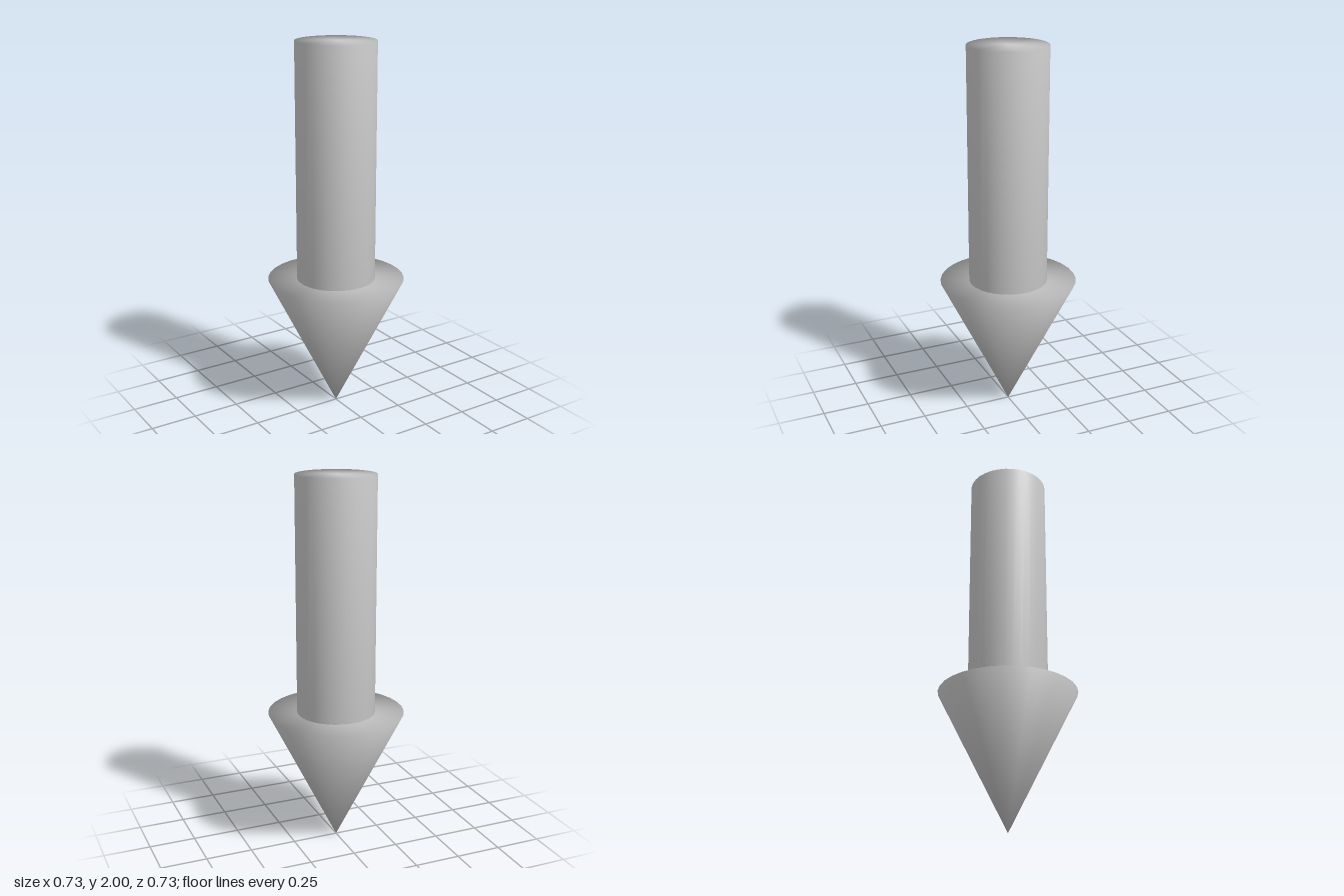
import * as THREE from 'three';
import { mergeVertices } from 'three/addons/utils/BufferGeometryUtils.js';

const SIDES = 32;
const TIP_HEIGHT = 0.735;
const TOTAL_HEIGHT = 2;

// Shares vertices between walls and caps so the shading runs smoothly over the rims
function smooth(geometry) {
  geometry.deleteAttribute('normal');
  geometry.deleteAttribute('uv');
  const merged = mergeVertices(geometry, 1e-4);
  merged.computeVertexNormals();
  return merged;
}

export function createModel() {
  const group = new THREE.Group();
  group.name = 'downArrow';
  const grey = new THREE.MeshStandardMaterial({ color: 0xcccccc });

  // Arrowhead: cone pointing down, apex on the ground
  const head = new THREE.ConeGeometry(0.366, TIP_HEIGHT, SIDES);
  head.rotateX(Math.PI);
  head.translate(0, TIP_HEIGHT / 2, 0);
  const arrowHead = new THREE.Mesh(smooth(head), grey);
  arrowHead.name = 'arrowHead';

  // Shaft: round bar standing on the flat base of the head
  const length = TOTAL_HEIGHT - TIP_HEIGHT;
  const bar = new THREE.CylinderGeometry(0.21, 0.21, length, SIDES);
  bar.translate(0, TIP_HEIGHT + length / 2, 0);
  const shaft = new THREE.Mesh(smooth(bar), grey);
  shaft.name = 'shaft';

  group.add(arrowHead, shaft);
  return group;
}
